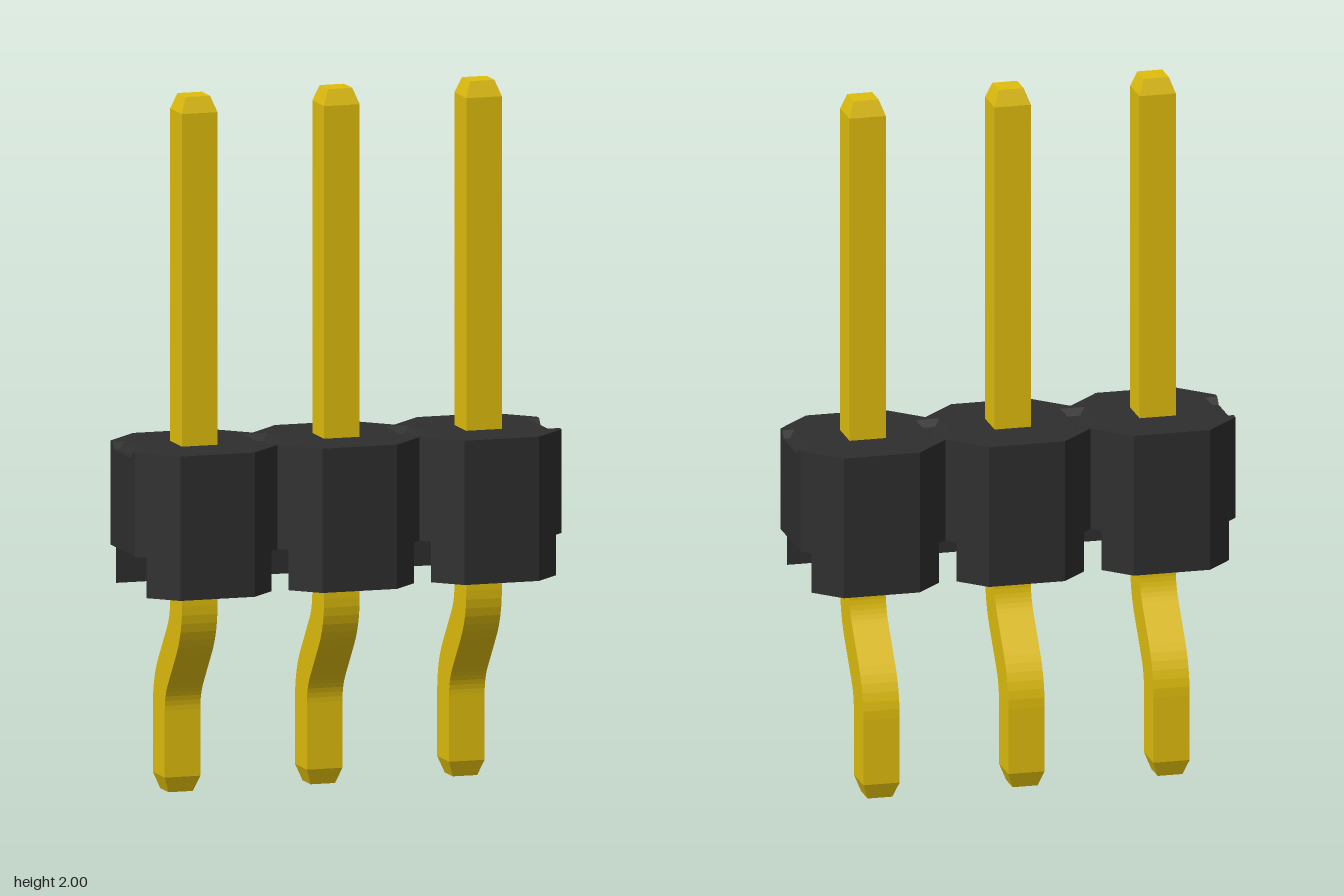
import * as THREE from 'three';

const PITCH = 0.42, HALF = 0.21, FACE = 0.11;   // cell spacing, half depth, half flat face
const TOP = 1.01, FLOOR = 0.99, BASE = 0.715, FOOT = 0.6;
const centres = [-PITCH, 0, PITCH];
const END = PITCH + HALF;

const plastic = new THREE.MeshStandardMaterial({ color: 0x2e2e2e, flatShading: true, side: THREE.DoubleSide });
const gold = new THREE.MeshStandardMaterial({ color: 0xe0be0d, flatShading: true });

const toVectors = (pts) => pts.map(([x, y]) => new THREE.Vector2(x, y));

// Plan outline (x, z) extruded upwards from y0 to y1
function slab(points, y0, y1, holes = []) {
  const shape = new THREE.Shape(toVectors(points));
  holes.forEach((h) => shape.holes.push(new THREE.Path(toVectors(h))));
  const geo = new THREE.ExtrudeGeometry(shape, { depth: y1 - y0, bevelEnabled: false });
  return geo.rotateX(-Math.PI / 2).translate(0, y0, 0);
}

function add(group, name, geo, mat) {
  const mesh = new THREE.Mesh(geo, mat);
  mesh.name = name;
  group.add(mesh);
  return mesh;
}

// Row of joined octagons, optionally with a notch in each end
function outline(notched) {
  const side = [];
  centres.forEach((c, i) => {
    if (i === 0) side.push([c - HALF, FACE]);
    side.push([c - FACE, HALF], [c + FACE, HALF], [c + HALF, FACE]);
  });
  if (notched) {
    side.unshift([-END + 0.035, 0.09], [-END, 0.09]);
    side.push([END, 0.09], [END - 0.035, 0.09]);
  }
  return [...side, ...side.map(([x, z]) => [x, -z]).reverse()];
}

// Sloped walls of a shallow groove; half grooves open at x = 0
function grooveWalls(half) {
  const ox = 0.035, oz = 0.09, ix = 0.018, iz = 0.076;
  const o = half ? [[0, oz], [-ox, oz], [-ox, -oz], [0, -oz]] : [[ox, oz], [-ox, oz], [-ox, -oz], [ox, -oz]];
  const n = half ? [[0, iz], [-ix, iz], [-ix, -iz], [0, -iz]] : [[ix, iz], [-ix, iz], [-ix, -iz], [ix, -iz]];
  const pos = [];
  const up = ([x, z]) => [x, TOP, z], low = ([x, z]) => [x, FLOOR, z];
  for (let i = 0; i < (half ? 3 : 4); i++) {
    const j = (i + 1) % 4;
    pos.push(...up(o[i]), ...low(n[i]), ...low(n[j]), ...up(o[i]), ...low(n[j]), ...up(o[j]));
  }
  // Close the small triangles left on the end face
  if (half) for (const k of [0, 3]) pos.push(...up(o[k]), ...low(o[k]), ...low(n[k]));
  const geo = new THREE.BufferGeometry();
  geo.setAttribute('position', new THREE.Float32BufferAttribute(pos, 3));
  geo.computeVertexNormals();
  return geo;
}

// Square bar lofted through rings of { y, z, tilt, r }, listed from the bottom up
function squareLoft(rings) {
  const pos = [], index = [];
  const corners = [[-1, 1], [1, 1], [1, -1], [-1, -1]];
  rings.forEach(({ y, z, tilt = 0, r }) => corners.forEach(([a, b]) =>
    pos.push(a * r, y - b * r * Math.sin(tilt), z + b * r * Math.cos(tilt))));
  for (let i = 0; i < rings.length - 1; i++) {
    for (let k = 0; k < 4; k++) {
      const a = i * 4 + k, b = i * 4 + (k + 1) % 4;
      index.push(a, b, b + 4, a, b + 4, a + 4);
    }
  }
  const t = (rings.length - 1) * 4;
  index.push(0, 2, 1, 0, 3, 2, t, t + 1, t + 2, t, t + 2, t + 3);
  const geo = new THREE.BufferGeometry();
  geo.setAttribute('position', new THREE.Float32BufferAttribute(pos, 3));
  geo.setIndex(index);
  const flat = geo.toNonIndexed();
  flat.computeVertexNormals();
  return flat;
}

// Pin: chamfered tips and an S bend towards the back
function pinGeometry() {
  const r = 0.0525, tip = 0.036, back = -0.1525, R = 0.18, bend = 0.663, steps = 6;
  const yLow = 0.235, yHigh = 0.555;
  const rings = [{ y: 0, z: back, r: tip }, { y: 0.045, z: back, r }];
  for (let i = 0; i <= steps; i++) {
    const a = bend * i / steps;
    rings.push({ y: yLow + R * Math.sin(a), z: back + R * (1 - Math.cos(a)), tilt: a, r });
  }
  for (let i = steps; i >= 0; i--) {
    const a = bend * i / steps;
    rings.push({ y: yHigh - R * Math.sin(a), z: -R * (1 - Math.cos(a)), tilt: a, r });
  }
  rings.push({ y: 1.955, z: 0, r }, { y: 2, z: 0, r: tip });
  return squareLoft(rings);
}

export function createModel() {
  const model = new THREE.Group();
  model.name = 'pinHeader';

  // Housing: solid block plus a thin top layer holding the grooves
  const housing = new THREE.Group();
  housing.name = 'housing';
  model.add(housing);
  const joints = [-PITCH / 2, PITCH / 2];
  const holes = joints.map((x) => [[x - 0.035, -0.09], [x - 0.035, 0.09], [x + 0.035, 0.09], [x + 0.035, -0.09]]);
  add(housing, 'housingBlock', slab(outline(false), BASE, FLOOR), plastic);
  add(housing, 'housingTop', slab(outline(true), FLOOR, TOP, holes), plastic);
  joints.forEach((x) => { add(housing, 'jointGroove', grooveWalls(false), plastic).position.x = x; });
  for (const s of [1, -1]) {
    const notch = add(housing, 'endGroove', grooveWalls(true), plastic);
    notch.position.x = s * END;
    if (s < 0) notch.rotation.y = Math.PI;
  }

  // Standoff feet along the front and back of each cell
  for (const c of centres) {
    for (const s of [1, -1]) {
      const foot = [[-0.185, 0.135], [-FACE, HALF], [FACE, HALF], [0.185, 0.135]].map(([x, z]) => [c + x, s * z]);
      add(housing, 'foot', slab(foot, FOOT, BASE), plastic);
    }
  }

  // Pins
  const pin = pinGeometry();
  centres.forEach((x) => { add(model, 'pin', pin, gold).position.x = x; });
  return model;
}
